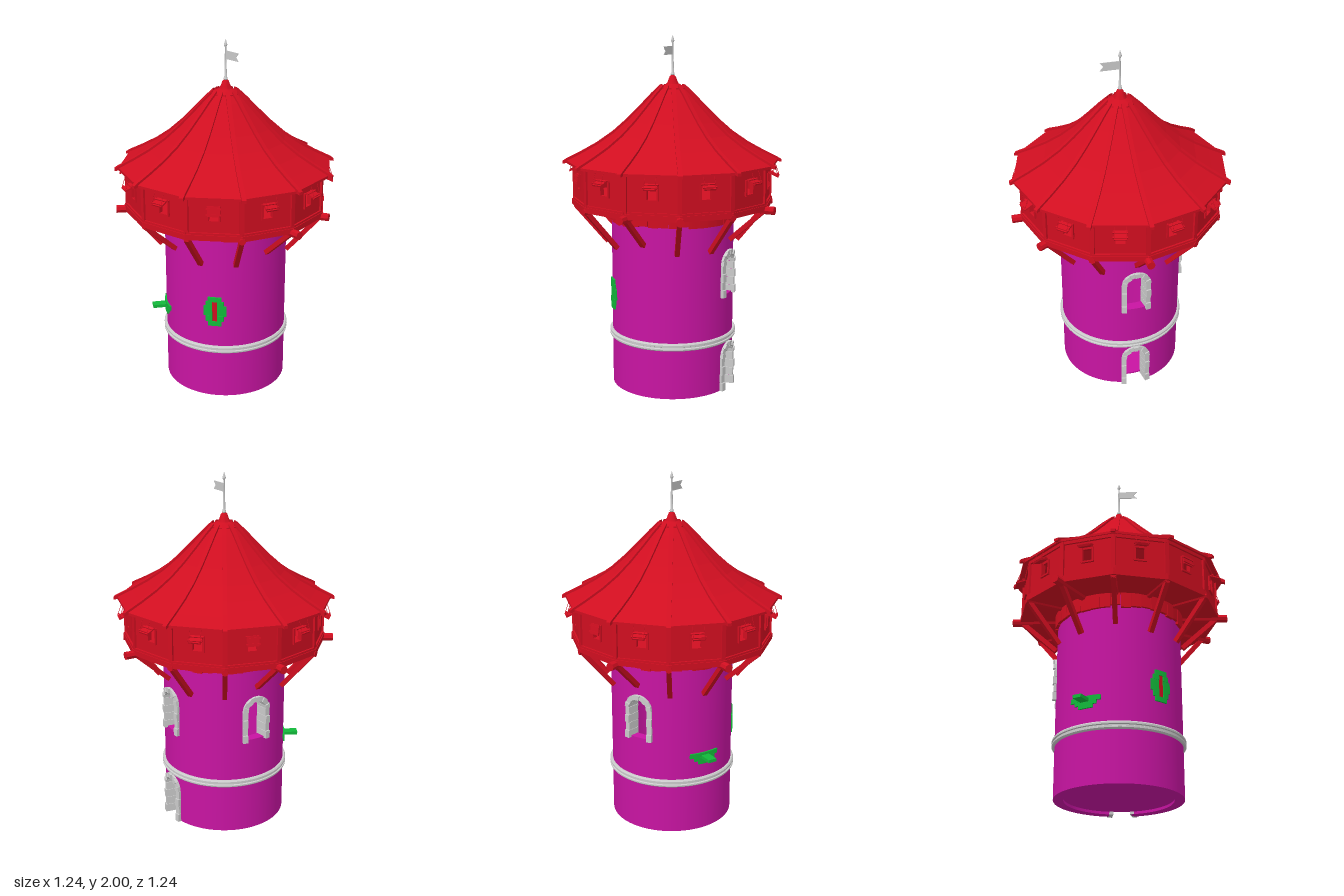
import * as THREE from 'three';
import { toCreasedNormals } from 'three/addons/utils/BufferGeometryUtils.js';

const RED = 0xd00e20, MAGENTA = 0xc814a2, GREEN = 0x12b83a, GREY = 0xcccccc;
const R = 0.35, WALL_IN = 0.295, TAU = Math.PI * 2, STEP = Math.PI / 6;
const deg = (d) => d * Math.PI / 180;

export function createModel() {
  const model = new THREE.Group();
  model.name = 'watchtower';
  model.position.set(-0.004, 0, 0.002);
  const mats = {};
  const mat = (color, flat) => (mats[color + '_' + !!flat] ??= new THREE.MeshStandardMaterial({ color, flatShading: !!flat }));
  const add = (parent, name, geo, color, flat) => {
    const m = new THREE.Mesh(geo, mat(color, flat));
    m.name = name;
    parent.add(m);
    return m;
  };
  const group = (name, azimuth = 0, parent = model) => {
    const g = new THREE.Group();
    g.name = name;
    g.rotation.y = azimuth;
    parent.add(g);
    return g;
  };
  const lathe = (pts, n) => new THREE.LatheGeometry(pts.map((p) => new THREE.Vector2(...p)), n);

  // Wraps a geometry round the tower: x is arc length at R, z is radius
  const bend = (geo, azimuth) => {
    const p = geo.attributes.position;
    for (let i = 0; i < p.count; i++) {
      const a = azimuth + p.getX(i) / R, r = p.getZ(i);
      p.setXYZ(i, r * Math.sin(a), p.getY(i), r * Math.cos(a));
    }
    geo.computeVertexNormals();
    return geo;
  };
  // Curved block between arc positions s0..s1; heights may vary with s
  const sector = (azimuth, s0, s1, r0, r1, yBot, yTop, n = 4) => {
    const g = new THREE.BoxGeometry(1, 1, 1, n, 1, 1), p = g.attributes.position;
    const at = (y, s) => (typeof y === 'function' ? y(s) : y);
    for (let i = 0; i < p.count; i++) {
      const s = s0 + (p.getX(i) + 0.5) * (s1 - s0);
      p.setXYZ(i, s, at(p.getY(i) < 0 ? yBot : yTop, s), p.getZ(i) < 0 ? r0 : r1);
    }
    return bend(g, azimuth);
  };

  // Hollow tower wall with arched openings at the back and on the -x side
  const W = 0.06, TOP = 1.05, BACK = Math.PI, SIDE = 1.5 * Math.PI;
  const arch = (spring) => (s) => spring + Math.sqrt(Math.max(0, W * W - s * s));
  const wall = group('towerWall');
  const piece = (az, s0, s1, y0, y1, n) => add(wall, 'wallPiece', sector(az, s0, s1, WALL_IN, R, y0, y1, n), MAGENTA);
  piece(BACK, W, R * Math.PI / 2 - W, 0, TOP, 30);
  piece(SIDE, W, R * Math.PI * 1.5 - W, 0, TOP, 96);
  piece(BACK, -W, W, arch(0.195), 0.56, 16);
  piece(SIDE, -W, W, 0, 0.56, 16);
  for (const az of [BACK, SIDE]) piece(az, -W, W, arch(0.735), TOP, 16);
  const base = add(model, 'groundFloor', new THREE.CylinderGeometry(0.3, 0.3, 0.01, 64), MAGENTA);
  base.position.y = 0.02;

  // Stone surrounds of the door and windows
  const surround = (name, az, bottom, spring) => {
    const g = group(name), inn = 0.055, out = 0.083;
    const stone = (pts, k) => {
      const depth = (k % 2 ? 0.364 : 0.37) - 0.29;
      const geo = new THREE.ExtrudeGeometry(new THREE.Shape(pts.map((p) => new THREE.Vector2(...p))), { depth, bevelEnabled: false });
      add(g, 'frameStone', bend(geo.translate(0, 0, 0.29), az), GREY, true);
    };
    const rows = 4, h = (spring - bottom) / rows;
    for (const m of [-1, 1]) for (let i = 0; i < rows; i++) {
      const y0 = bottom + i * h, y1 = y0 + h - 0.002;
      stone([[m * inn, y0], [m * out, y0], [m * out, y1], [m * inn, y1]], i);
    }
    const pt = (r, a) => [r * Math.cos(a), spring + r * Math.sin(a)];
    for (let i = 0; i < 9; i++) {
      const a = Math.PI * i / 9, b = Math.PI * (i + 0.97) / 9;
      stone([pt(inn, a), pt(out, a), pt(out, b), pt(inn, b)], i);
    }
  };
  surround('backDoorFrame', BACK, 0, 0.195);
  surround('backWindowFrame', BACK, 0.55, 0.735);
  surround('sideWindowFrame', SIDE, 0.55, 0.735);

  // Moulded stone band
  add(model, 'stoneBand', toCreasedNormals(lathe([[0.345, 0.283], [0.36, 0.283], [0.366, 0.289], [0.366, 0.297],
    [0.359, 0.3], [0.359, 0.306], [0.366, 0.309], [0.366, 0.318], [0.36, 0.325], [0.345, 0.325]], 72), 0.6), GREY);

  // Arrow slit with rough stones
  const slit = group('arrowSlit'), slitAz = deg(41.5);
  const stones = (parent, az, list) => list.forEach(([s0, s1, y0, y1, r = 0.36]) =>
    add(parent, 'stone', sector(az, s0, s1, 0.33, r, y0, y1), GREEN));
  stones(slit, slitAz, [[-0.038, 0.038, 0.455, 0.482], [-0.038, 0.038, 0.603, 0.63]]);
  for (const m of [0, 1]) stones(slit, slitAz, [[0.482, 0.515, 0.05], [0.515, 0.575, 0.064], [0.575, 0.603, 0.05]]
    .map(([y0, y1, w], i) => (m ? [0.014, w, y0, y1, 0.36 - 0.002 * (i % 2)] : [-w, -0.014, y0, y1, 0.36 - 0.002 * (i % 2)])));
  add(slit, 'slitPanel', sector(slitAz, -0.015, 0.015, 0.33, 0.354, 0.48, 0.605), RED);

  // Stepped corbel with a spout
  const spout = group('spoutCorbel'), spoutAz = deg(-27);
  stones(spout, spoutAz, [[-0.09, 0.088, 0.448, 0.475], [-0.064, 0.066, 0.428, 0.448], [-0.04, 0.046, 0.408, 0.428]]);
  const lip = group('spout', spoutAz, spout);
  add(lip, 'spoutBlock', new THREE.BoxGeometry(0.05, 0.018, 0.1), GREEN).position.set(0, 0.452, 0.385);

  // Ragged plank skirt under the gallery
  let seed = 7;
  const rnd = () => (seed = (seed * 16807) % 2147483647) / 2147483647;
  const skirt = group('plankSkirt');
  for (let i = 0; i < 40; i++) {
    const half = R * Math.PI / 40 - 0.0006;
    add(skirt, 'skirtPlank', sector(i * TAU / 40, -half, half, 0.34, 0.362 + rnd() * 0.006, 0.965 + rnd() * 0.022, 1.06, 2), RED);
  }

  // Gallery floor
  add(model, 'galleryFloor', new THREE.CylinderGeometry(0.575, 0.575, 0.03, 12), RED, true).position.y = 1.07;

  // Floor logs, struts, and corner posts at the twelve corners
  const logEnds = [0.565, 0.565, 0.58, 0.622, 0.61, 0.575, 0.62, 0.575, 0.575, 0.615, 0.575, 0.622];
  logEnds.forEach((end, i) => {
    const g = group('cornerFrame', i * STEP);
    const thick = end > 0.6 ? 0.023 : 0.018;
    const log = add(g, 'floorLog', new THREE.CylinderGeometry(thick, thick, end - 0.33, 8), RED, true);
    log.rotation.x = Math.PI / 2;
    log.position.set(0, 1.058, (end + 0.33) / 2);
    const [z0, y0] = i % 3 ? [0.372, 0.835] : [0.36, 0.875];
    const dz = 0.555 - z0, dy = 1.05 - y0;
    const strut = add(g, 'strut', new THREE.BoxGeometry(0.026, 0.026, Math.hypot(dz, dy)), RED);
    strut.rotation.x = -Math.atan2(dy, dz);
    strut.position.set(0, y0 + dy / 2, z0 + dz / 2);
    add(g, 'cornerPost', new THREE.BoxGeometry(0.024, 0.24, 0.024), RED).position.set(0, 1.19, 0.556);
  });

  // Gallery walls: panel with a window, trim, top-hinged shutter and ropes
  const side = 2 * 0.56 * Math.sin(STEP / 2), apothem = 0.56 * Math.cos(STEP / 2);
  const rect = (T, x, y0, y1) => new T([[-x, y0], [x, y0], [x, y1], [-x, y1]].map((p) => new THREE.Vector2(...p)));
  const panelShape = rect(THREE.Shape, side / 2, 1.07, 1.31);
  panelShape.holes.push(rect(THREE.Path, 0.026, 1.165, 1.238));
  const panelGeo = new THREE.ExtrudeGeometry(panelShape, { depth: 0.016, bevelEnabled: false });
  for (let i = 0; i < 12; i++) {
    const az = (i + 0.5) * STEP, g = group('galleryWall', az);
    add(g, 'wallPanel', panelGeo, RED).position.z = apothem - 0.016;
    const bar = (name, w, h, x, y) => add(g, name, new THREE.BoxGeometry(w, h, 0.014), RED).position.set(x, y, apothem + 0.003);
    bar('lowerRail', side, 0.022, 0, 1.085);
    bar('upperRail', side, 0.02, 0, 1.295);
    bar('windowSill', 0.07, 0.01, 0, 1.16);
    for (const x of [-0.031, 0.031]) bar('windowJamb', 0.01, 0.085, x, 1.203);
    const closed = i === 1 || i === 8;
    const hinge = group('shutter', 0, g);
    hinge.position.set(0, 1.248, apothem + 0.012);
    hinge.rotation.x = closed ? 1.4 : 0.42;
    add(hinge, 'shutterBoard', new THREE.BoxGeometry(0.066, 0.008, 0.056), RED).position.z = 0.028;
    for (const z of [0.014, 0.044]) add(hinge, 'shutterBatten', new THREE.BoxGeometry(0.078, 0.007, 0.009), RED).position.set(0, 0.006, z);
    if (!closed) for (const x of [-0.03, 0.03]) {
      const rope = add(g, 'shutterRope', new THREE.CylinderGeometry(0.0015, 0.0015, 0.075, 5), RED);
      rope.position.set(x, 1.264, apothem + 0.05);
      rope.rotation.x = -0.35;
    }
  }

  // Concave twelve-sided roof with a rib on each hip
  const prof = [[0.602, 1.302], [0.52, 1.343], [0.43, 1.393], [0.34, 1.455], [0.26, 1.525], [0.18, 1.605], [0.12, 1.668], [0.07, 1.715]];
  const shift = (d) => prof.map(([r, y]) => [r, y + d]);
  add(model, 'roof', lathe([...shift(-0.014).reverse(), ...prof], 12), RED, true);
  const ribPts = [[0.622, 1.286], [0.622, 1.302], ...shift(0.012), ...shift(-0.012).reverse()];
  const ribGeo = new THREE.ExtrudeGeometry(new THREE.Shape(ribPts.map((p) => new THREE.Vector2(...p))), { depth: 0.024, bevelEnabled: false });
  ribGeo.translate(0, 0, -0.012).rotateY(-Math.PI / 2);
  const ribs = group('roofRibs');
  for (let i = 0; i < 12; i++) add(ribs, 'roofRib', ribGeo, RED).rotation.y = i * STEP;

  // Roof cap, pole with spear tip, and swallow-tailed flag
  add(model, 'roofCap', toCreasedNormals(lathe([[0, 1.69], [0.08, 1.7], [0.08, 1.71], [0.035, 1.73], [0.027, 1.745],
    [0.017, 1.772], [0.01, 1.778], [0, 1.778]], 24), 0.6), RED);
  add(model, 'flagPole', toCreasedNormals(lathe([[0, 1.77], [0.008, 1.775], [0.012, 1.784], [0.008, 1.793], [0.007, 1.8],
    [0.004, 1.955], [0.01, 1.968], [0.005, 1.985], [0, 2]], 12), 0.7), GREY);
  const flagShape = new THREE.Shape([[0, 1.892], [0.11, 1.892], [0.09, 1.915], [0.11, 1.938], [0, 1.938]].map((p) => new THREE.Vector2(...p)));
  const flagGeo = new THREE.ExtrudeGeometry(flagShape, { depth: 0.004, bevelEnabled: false });
  add(model, 'flag', flagGeo.translate(0, 0, -0.002), GREY);
  return model;
}
